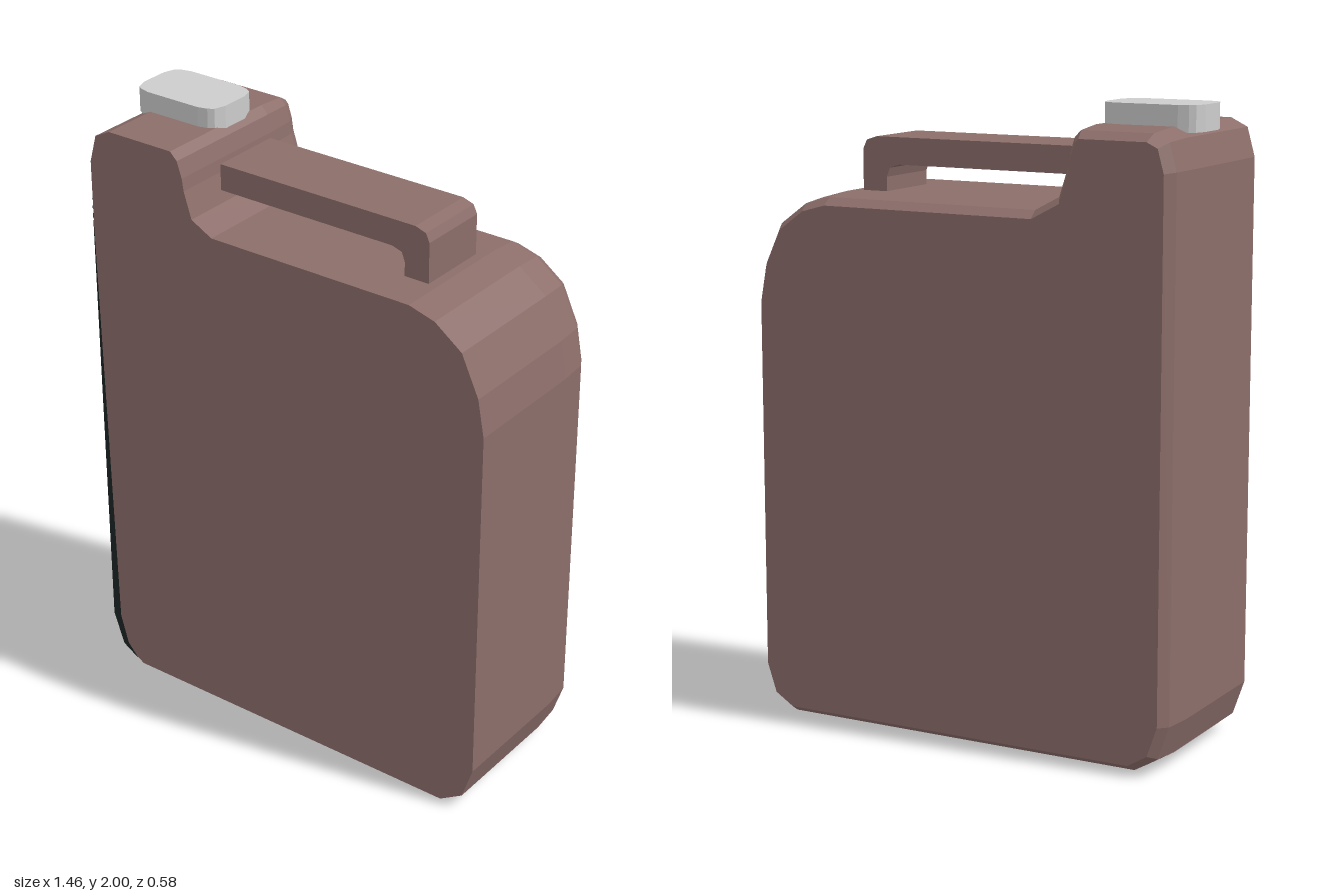
import * as THREE from 'three';

const v = (pts) => pts.map(([x, y]) => new THREE.Vector2(x, y));

// Moves a counter-clockwise outline inwards by d, with mitred corners
function inset(pts, d) {
  const n = pts.length;
  return pts.map((p, i) => {
    const a = p.clone().sub(pts[(i + n - 1) % n]).normalize();
    const b = pts[(i + 1) % n].clone().sub(p).normalize();
    const na = new THREE.Vector2(-a.y, a.x), nb = new THREE.Vector2(-b.y, b.x);
    return p.clone().addScaledVector(na.clone().add(nb), d / (1 + na.dot(nb)));
  });
}

// Joins inset copies of an outline, listed from front to back as [z, inset], and closes both ends
function loft(outline, layers) {
  const n = outline.length, pos = [], index = [];
  for (const [z, d] of layers) inset(outline, d).forEach((p) => pos.push(p.x, p.y, z));
  for (let k = 0; k < layers.length - 1; k++) {
    for (let i = 0; i < n; i++) {
      const a = k * n + i, b = k * n + (i + 1) % n;
      index.push(a, a + n, b, b, a + n, b + n);
    }
  }
  const last = (layers.length - 1) * n;
  for (const [a, b, c] of THREE.ShapeUtils.triangulateShape(outline, [])) {
    index.push(a, b, c, last + a, last + c, last + b);
  }
  const indexed = new THREE.BufferGeometry();
  indexed.setAttribute('position', new THREE.Float32BufferAttribute(pos, 3));
  indexed.setIndex(index);
  const geo = indexed.toNonIndexed();
  geo.computeVertexNormals();
  return geo;
}

export function createModel() {
  const group = new THREE.Group();
  const material = (name, color) => {
    const m = new THREE.MeshStandardMaterial({ color });
    m.name = name;
    return m;
  };
  const brown = material('dusty brown', 0x8c6e6a);
  const grey = material('light grey', 0xcccccc);
  const dark = material('dark edge', 0x1c2424);
  const add = (name, geo, mat) => {
    const mesh = new THREE.Mesh(geo, mat);
    mesh.name = name;
    group.add(mesh);
    return mesh;
  };

  // Can body: sharp front edge, rounded back edge, raised neck on one side
  const body = v([
    [-0.61, 0], [0.61, 0], [0.69, 0.05], [0.727, 0.16], [0.727, 1.35], [0.705, 1.47],
    [0.645, 1.6], [0.55, 1.67], [0.46, 1.695], [-0.26, 1.695], [-0.335, 1.735],
    [-0.362, 1.82], [-0.368, 1.86], [-0.385, 1.912], [-0.41, 1.937], [-0.65, 1.937],
    [-0.705, 1.91], [-0.73, 1.82], [-0.73, 0.16], [-0.692, 0.05],
  ]);
  add('canBody', loft(body, [[0.287, 0], [-0.15, 0], [-0.25, 0.009], [-0.288, 0.032]]), brown);

  // Thin dark strip along one front edge
  const strip = v([
    [-0.63, 0.012], [-0.672, 0.06], [-0.7, 0.16], [-0.73, 1.7], [-0.73, 0.16], [-0.692, 0.05],
  ]);
  add('frontEdgeStrip', new THREE.ShapeGeometry(new THREE.Shape(strip)), dark).position.z = 0.289;

  // Carrying handle: a bar with one leg
  const handle = v([
    [0.345, 1.69], [0.43, 1.69], [0.43, 1.825], [0.417, 1.853], [0.38, 1.865], [-0.335, 1.865],
    [-0.335, 1.78], [0.3, 1.78], [0.334, 1.769], [0.345, 1.74],
  ]);
  add('handle', loft(handle, [[0.145, 0], [-0.097, 0]]), brown);

  // Cap with cut corners, lofted then laid flat
  const [w, d] = [0.16, 0.104];
  const quarter = [[w, d - 0.058], [w - 0.012, d - 0.02], [w - 0.03, d - 0.008], [w - 0.062, d]];
  const flip = (sx, sy) => quarter.map(([x, y]) => [x * sx, y * sy]);
  const cap = v([
    ...flip(1, 1), ...flip(-1, 1).reverse(), ...flip(-1, -1), ...flip(1, -1).reverse(),
  ]);
  const capGeo = loft(cap, [[2, 0], [1.92, 0]]).rotateX(-Math.PI / 2);
  add('cap', capGeo, grey).position.set(-0.56, 0, -0.01);

  return group;
}
